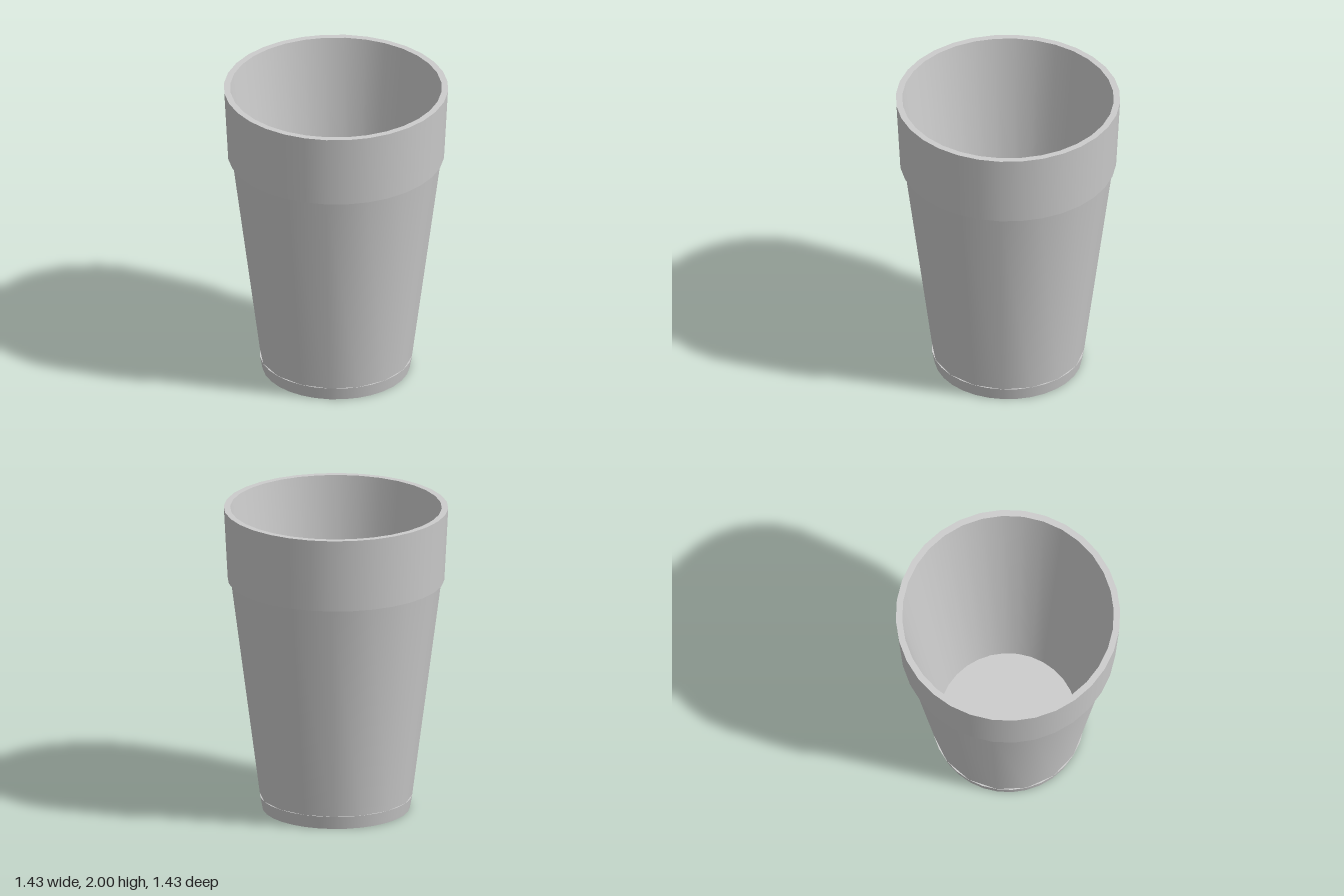
import * as THREE from 'three';

const grey = new THREE.MeshStandardMaterial({ color: 0xcccccc });

// One lathed surface between two [radius, height] points; separate pieces keep edges sharp.
function band(name, from, to, sides) {
  const points = [from, to].map(([r, y]) => new THREE.Vector2(r, y));
  const mesh = new THREE.Mesh(new THREE.LatheGeometry(points, sides), grey);
  mesh.name = name;
  return mesh;
}

export function createModel() {
  const cup = new THREE.Group();
  cup.name = 'cup';

  const ROUND = 32; // foot, rim and interior
  const BODY = 16; // coarser tapered wall

  // Foot: bottom disc, short flared side and the thin ledge above it
  cup.add(band('footBottom', [0, 0], [0.47, 0], ROUND));
  cup.add(band('footSide', [0.47, 0], [0.486, 0.085], ROUND));
  cup.add(band('footLedge', [0.486, 0.085], [0.44, 0.085], ROUND));

  // Tapered wall
  cup.add(band('bodyWall', [0.485, 0.085], [0.672, 1.523], BODY));

  // Rim collar: underside ledge, outer side and top lip
  cup.add(band('rimUnderside', [0.62, 1.523], [0.69, 1.523], ROUND));
  cup.add(band('rimSide', [0.69, 1.523], [0.715, 2], ROUND));
  cup.add(band('rimLip', [0.715, 2], [0.674, 2], ROUND));

  // Interior wall and floor
  cup.add(band('innerWall', [0.674, 2], [0.44, 0.087], ROUND));
  cup.add(band('innerFloor', [0.44, 0.087], [0, 0.087], ROUND));

  return cup;
}
